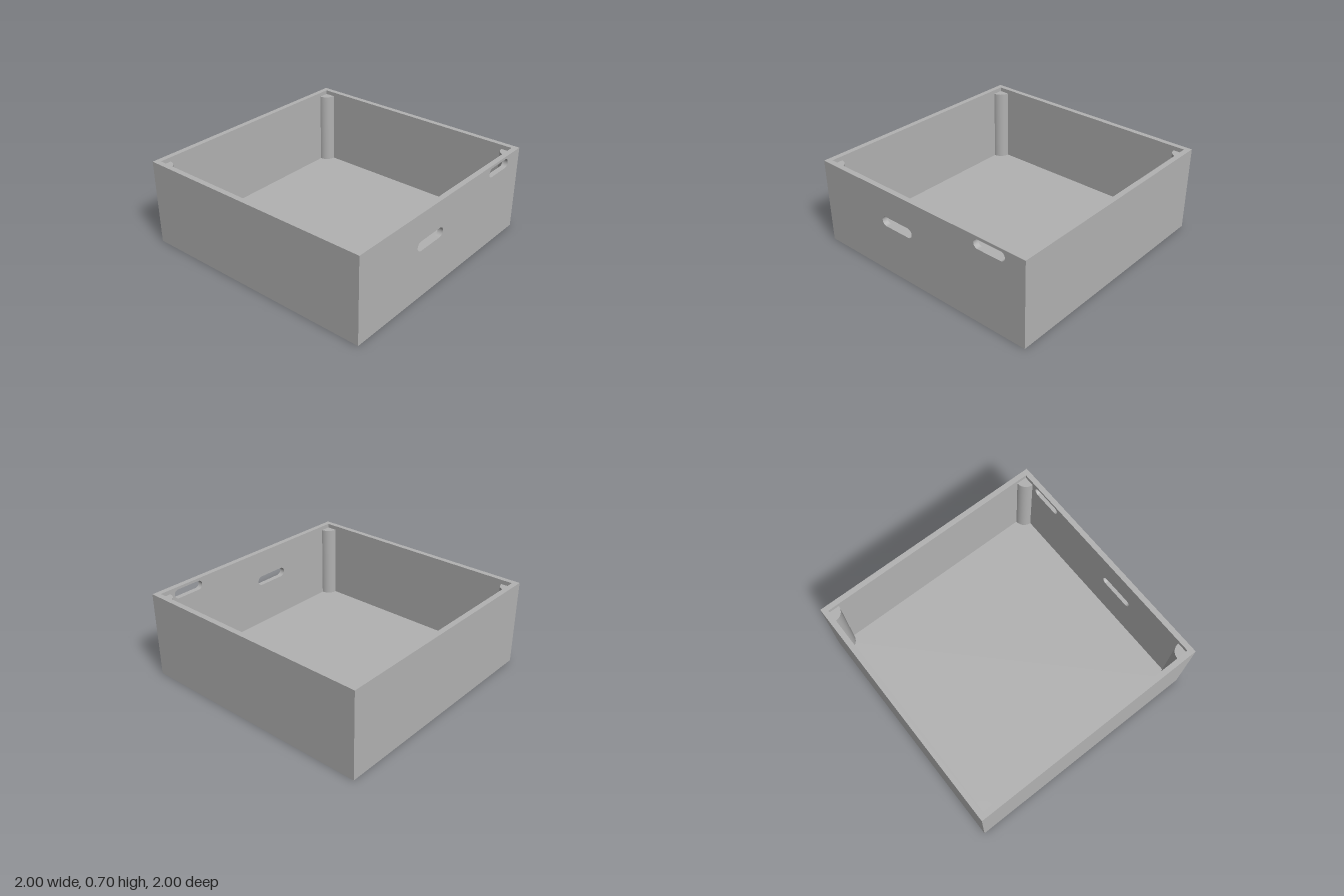
import * as THREE from 'three';

const H = 0.705;      // overall height
const T = 0.044;      // wall and floor thickness
const IN = 1 - T;     // inner wall position
const POST_R = 0.087;
const POST_TOP = H - 0.035;

export function createModel() {
  const model = new THREE.Group();
  model.name = 'openBox';
  const grey = new THREE.MeshStandardMaterial({ color: 0xb2b2b2 });
  grey.name = 'grey';

  const add = (name, geometry, x, y, z) => {
    const mesh = new THREE.Mesh(geometry, grey);
    mesh.name = name;
    mesh.position.set(x, y, z);
    model.add(mesh);
  };

  // Rounded slot outline between two x and two y limits
  const slot = (x0, x1, y0, y1) => {
    const r = (y1 - y0) / 2, cy = (y0 + y1) / 2;
    const path = new THREE.Path();
    path.absarc(x1 - r, cy, r, -Math.PI / 2, Math.PI / 2, false);
    path.absarc(x0 + r, cy, r, Math.PI / 2, Math.PI * 1.5, false);
    path.closePath();
    return path;
  };

  // Front wall with two slots cut through
  const front = new THREE.Shape([
    new THREE.Vector2(-1, 0), new THREE.Vector2(1, 0),
    new THREE.Vector2(1, H), new THREE.Vector2(-1, H),
  ]);
  front.holes.push(slot(-0.36, -0.05, 0.4, 0.48), slot(0.555, 0.829, 0.607, 0.683));
  add('frontWall', new THREE.ExtrudeGeometry(front, { depth: T, bevelEnabled: false, curveSegments: 16 }), 0, 0, IN);

  // Plain walls and floor
  add('backWall', new THREE.BoxGeometry(2, H, T), 0, H / 2, -1 + T / 2);
  for (const [side, s] of [['left', 1], ['right', -1]]) {
    add(side + 'Wall', new THREE.BoxGeometry(T, H, 2 * IN), s * (1 - T / 2), H / 2, 0);
  }
  add('floor', new THREE.BoxGeometry(2 * IN, T, 2 * IN), 0, T / 2, 0);

  // Quarter-round posts in the inner corners, stopping just under the rim
  const postH = POST_TOP - T;
  for (const sx of [-1, 1]) {
    for (const sz of [-1, 1]) {
      const start = Math.atan2(-sx, -sz) - Math.PI / 4;
      const post = new THREE.CylinderGeometry(POST_R, POST_R, postH, 20, 1, false, start, Math.PI / 2);
      add('cornerPost', post, sx * IN, T + postH / 2, sz * IN);
    }
  }
  return model;
}
